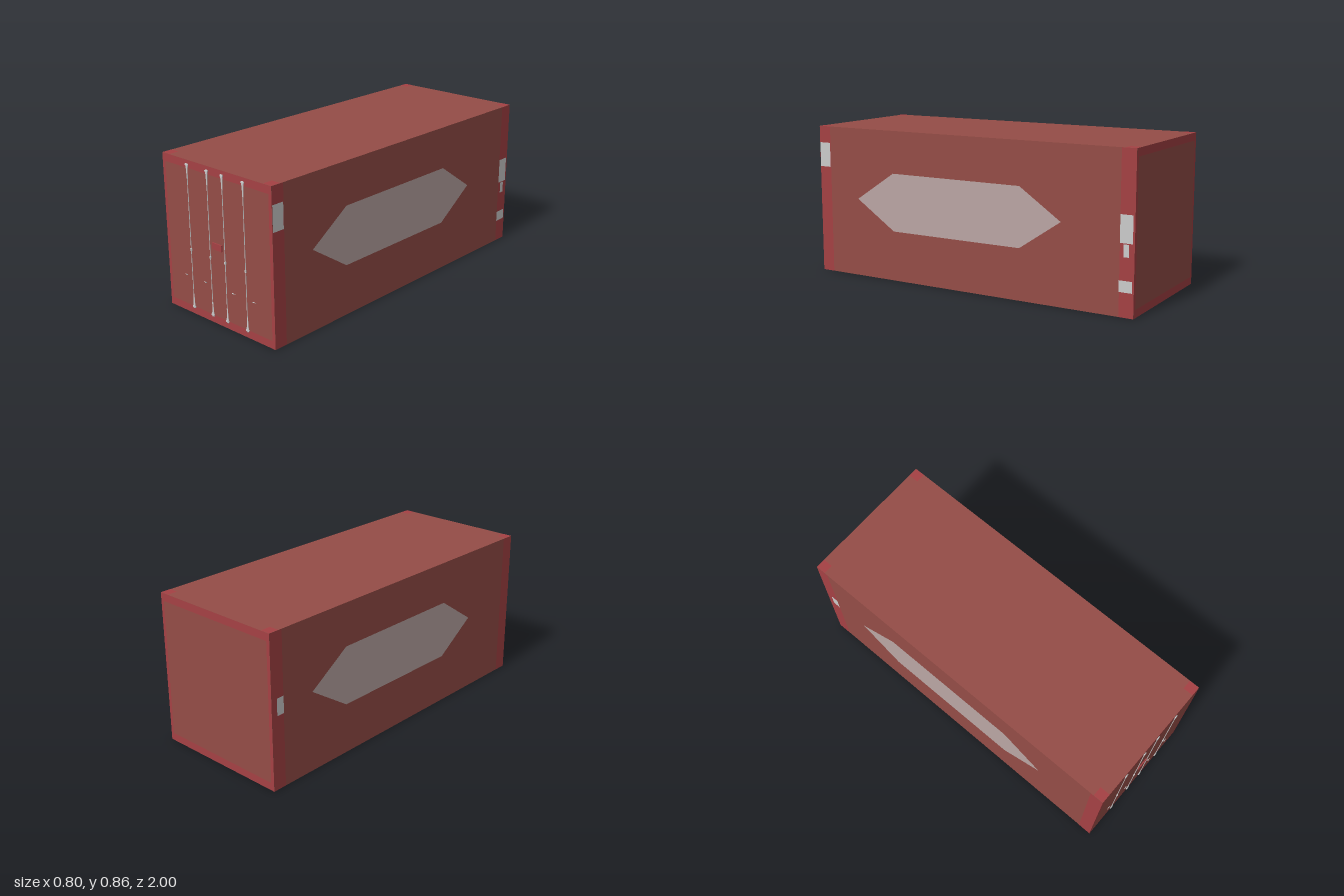
import * as THREE from 'three';

const W = 0.8, H = 0.855, BACK = -1, FRONT = 0.992, LIFT = 0.0008;
const paint = new THREE.MeshStandardMaterial({ color: 0x954d47 });
const trim = new THREE.MeshStandardMaterial({ color: 0xa54144 });
const pale = new THREE.MeshStandardMaterial({ color: 0xbba6a4 });
const grey = new THREE.MeshStandardMaterial({ color: 0xcccccc });

function add(parent, name, geometry, material, x = 0, y = 0, z = 0) {
  const mesh = new THREE.Mesh(geometry, material);
  mesh.name = name;
  mesh.position.set(x, y, z);
  parent.add(mesh);
  return mesh;
}

// Flat outline from [x, y] points
function outline(points) {
  return new THREE.Shape(points.map(([x, y]) => new THREE.Vector2(x, y)));
}

function rect(x0, x1, y0, y1) {
  return outline([[x0, y0], [x1, y0], [x1, y1], [x0, y1]]);
}

// Painted shape on a side wall; local x runs towards -z on +x, towards +z on -x
function onSide(parent, name, shape, material, side, lift = LIFT) {
  const mesh = add(parent, name, new THREE.ShapeGeometry(shape), material, side * (W / 2 + lift));
  mesh.rotation.y = side * Math.PI / 2;
}

// Locking rod with flared ends and a central guide
function lockingRod(x) {
  const rod = new THREE.Group();
  rod.name = 'lockingRod';
  rod.position.set(x, 0, FRONT + 0.003);
  add(rod, 'bar', new THREE.CylinderGeometry(0.002, 0.002, 0.78, 8), grey, 0, 0.435, 0);
  const flare = [[0, 0], [0.008, 0], [0.009, 0.012], [0.006, 0.03], [0.004, 0.08], [0, 0.085]]
    .map(([r, y]) => new THREE.Vector2(r, y));
  for (const top of [false, true]) {
    const end = add(rod, 'flaredEnd', new THREE.LatheGeometry(flare, 10), grey, 0, top ? 0.836 : 0.034, 0);
    end.scale.z = 0.5;
    if (top) end.rotation.z = Math.PI;
    add(rod, 'endBracket', new THREE.BoxGeometry(0.021, 0.008, 0.007), grey, 0, top ? 0.829 : 0.042, 0);
  }
  add(rod, 'guide', new THREE.BoxGeometry(0.009, 0.014, 0.007), grey, 0, 0.367, 0);
  return rod;
}

export function createModel() {
  const model = new THREE.Group();
  model.name = 'shippingContainer';
  add(model, 'body', new THREE.BoxGeometry(W, H, FRONT - BACK), paint, 0, H / 2, (FRONT + BACK) / 2);

  // Border frames on the door end and the back end
  const border = rect(-W / 2, W / 2, 0, H);
  border.holes.push(rect(-0.38, 0.38, 0.043, 0.812));
  add(model, 'frontFrame', new THREE.ShapeGeometry(border), trim, 0, 0, FRONT + LIFT);
  add(model, 'backFrame', new THREE.ShapeGeometry(border), trim, 0, 0, BACK - LIFT).rotation.y = Math.PI;

  // Corner posts and long six-sided panel on both walls
  const panel = outline([[-0.72, 0.45], [-0.47, 0.285], [0.345, 0.285], [0.59, 0.45], [0.345, 0.615], [-0.47, 0.615]]);
  for (const side of [-1, 1]) {
    onSide(model, 'sidePanel', panel, pale, side);
    const front = -side * FRONT, back = -side * BACK;
    const inFront = -side * 0.915, inBack = side * 0.92;
    onSide(model, 'frontPost', rect(Math.min(front, inFront), Math.max(front, inFront), 0, H), trim, side);
    onSide(model, 'backPost', rect(Math.min(back, inBack), Math.max(back, inBack), 0, H), trim, side);
  }

  // Plates on the posts: wall, local x range, height range
  for (const [side, ...area] of [
    [1, -0.99, -0.918, 0.62, 0.76],
    [1, 0.92, 0.99, 0.38, 0.525],
    [1, 0.94, 0.97, 0.31, 0.375],
    [1, 0.918, 0.99, 0.13, 0.19],
    [-1, -0.965, -0.92, 0.41, 0.505],
  ]) onSide(model, 'plate', rect(...area), grey, side, 2 * LIFT);

  // Corner castings on roof and floor
  for (const sx of [-1, 1]) for (const z of [BACK + 0.03, FRONT - 0.03]) for (const y of [0, H]) {
    const patch = add(model, 'cornerCasting', new THREE.PlaneGeometry(0.055, 0.058), trim,
      sx * (W / 2 - 0.0285), y ? H + LIFT : -LIFT, z);
    patch.rotation.x = y ? -Math.PI / 2 : Math.PI / 2;
  }

  // Door hardware
  for (const x of [-0.207, -0.057, 0.055, 0.205]) model.add(lockingRod(x));
  for (const x of [-0.263, -0.113, 0.113, 0.263]) {
    const handle = add(model, 'doorHandle', new THREE.ConeGeometry(0.003, 0.027, 6), grey, x, 0.213, FRONT + 0.003);
    handle.rotation.z = x < 0 ? Math.PI / 2 : -Math.PI / 2;
  }
  add(model, 'lockBox', new THREE.BoxGeometry(0.07, 0.035, 0.007), trim, 0, 0.438, FRONT + 0.0035);
  return model;
}
